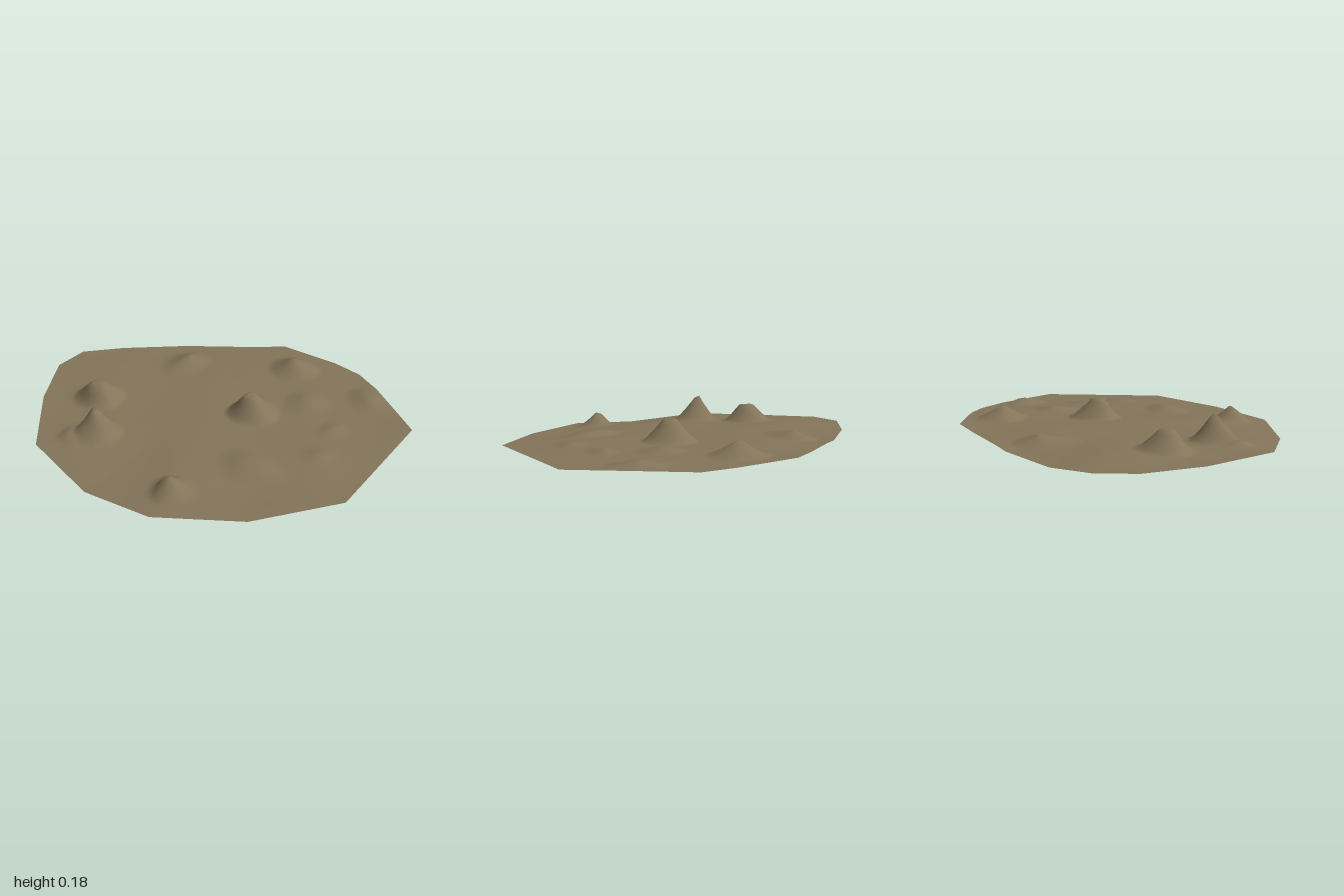
import * as THREE from 'three';

// Rim corners: x, y, z
const RIM = [
  [-1, 0.05, 0.03], [-0.98, 0.05, -0.17], [-0.82, 0.035, -0.35], [-0.52, 0.035, -0.56],
  [-0.4, 0.04, -0.62], [-0.13, 0.045, -0.76], [0.04, 0.055, -0.85], [0.38, 0.05, -0.83],
  [0.55, 0.045, -0.79], [0.7, 0.05, -0.68], [1, 0.05, -0.4], [0.93, 0.045, 0.31],
  [0.6, 0.028, 0.64], [0.2, 0.025, 0.84], [-0.18, 0.002, 0.83], [-0.6, 0.035, 0.69],
  [-0.86, 0.04, 0.33],
];

// Mounds: centre x, z, height, then reach to -x, +x, -z, +z, and flat top fraction
const MOUNDS = [
  [-0.41, 0.44, 0.15, 0.1, 0.15, 0.12, 0.13, 0],
  [-0.58, 0.2, 0.095, 0.15, 0.14, 0.16, 0.1, 0.3],
  [0.2, -0.1, 0.11, 0.12, 0.16, 0.17, 0.12, 0.25],
  [0.2, -0.63, 0.075, 0.14, 0.16, 0.16, 0.13, 0],
  [0.17, 0.64, 0.09, 0.07, 0.12, 0.1, 0.11, 0],
  [0.72, -0.57, 0.05, 0.15, 0.18, 0.12, 0.16, 0],
  [-0.38, -0.41, 0.045, 0.12, 0.14, 0.14, 0.22, 0],
  [0.42, 0.3, 0.025, 0.17, 0.2, 0.12, 0.14, 0.3],
  [0.65, -0.18, 0.025, 0.08, 0.08, 0.08, 0.08, 0],
  [0.69, 0.06, 0.022, 0.1, 0.08, 0.08, 0.07, 0],
  [-0.5, 0.55, 0.03, 0.06, 0.12, 0.1, 0.07, 0],
  [0.42, -0.35, 0.022, 0.12, 0.14, 0.12, 0.14, 0.2],
];

// Height of all mounds and ripples at a point
function relief(x, z) {
  let y = 0.006 * Math.sin(7 * x + 2 * z) * Math.sin(6 * z - 3 * x);
  for (const [cx, cz, h, xl, xr, zb, zf, flat] of MOUNDS) {
    const dx = (x - cx) / (x < cx ? xl : xr);
    const dz = (z - cz) / (z < cz ? zb : zf);
    const slope = Math.max(0, 1 - Math.hypot(dx, dz)) / (1 - flat);
    y += h * Math.min(1, slope) ** 1.25;
  }
  return y;
}

// Rings of points scaled from the rim toward the middle
function groundGeometry(rings, steps) {
  const positions = [0, 0.055 + relief(0, 0), 0];
  const indices = [];
  const count = RIM.length * steps;
  for (let r = 1; r <= rings; r++) {
    const t = r / rings;
    const fade = Math.min(1, (1 - t) * 8);
    for (let i = 0; i < count; i++) {
      const a = RIM[Math.floor(i / steps)];
      const b = RIM[(Math.floor(i / steps) + 1) % RIM.length];
      const [rx, ry, rz] = a.map((v, k) => THREE.MathUtils.lerp(v, b[k], (i % steps) / steps));
      const x = rx * t, z = rz * t;
      positions.push(x, THREE.MathUtils.lerp(0.055, ry, t * t) + relief(x, z) * fade, z);
      // The rim runs counter-clockwise from below, so faces are wound to look up
      const j = (i + 1) % count;
      const outer = 1 + (r - 1) * count, inner = outer - count;
      if (r === 1) indices.push(0, outer + j, outer + i);
      else indices.push(inner + i, inner + j, outer + i, inner + j, outer + j, outer + i);
    }
  }
  const geometry = new THREE.BufferGeometry();
  geometry.setAttribute('position', new THREE.Float32BufferAttribute(positions, 3));
  geometry.setIndex(indices);
  geometry.computeVertexNormals();
  return geometry;
}

export function createModel() {
  const earth = new THREE.MeshStandardMaterial({ color: 0x84755a, side: THREE.DoubleSide });
  earth.name = 'earth brown';
  const ground = new THREE.Mesh(groundGeometry(56, 10), earth);
  ground.name = 'groundPatch';
  const group = new THREE.Group();
  group.name = 'rockyGround';
  group.add(ground);
  return group;
}
